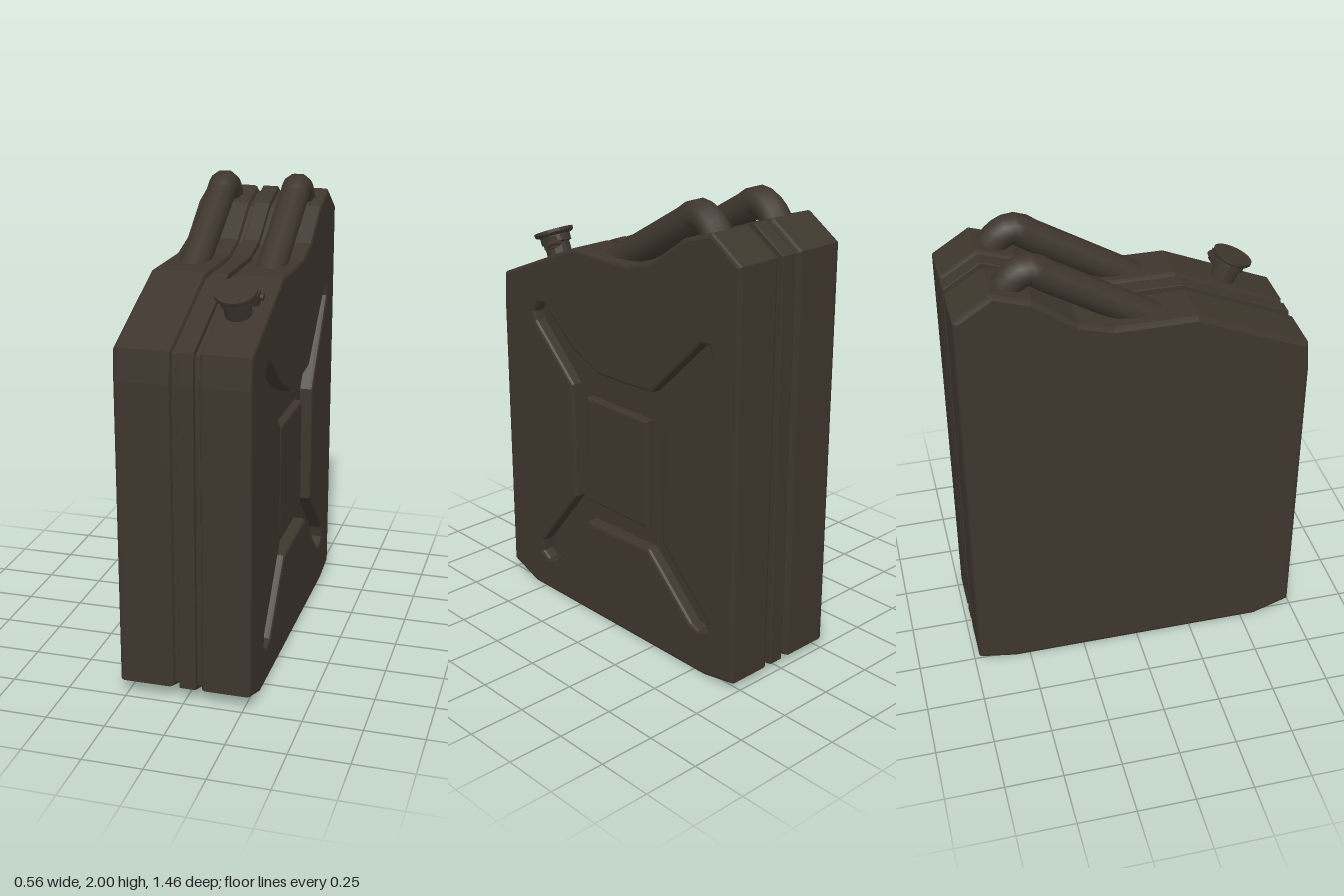
import * as THREE from 'three';

// Side outline, as [-z, y]
const outline = [
  [-0.73, 0.06], [-0.565, 0], [0.565, 0], [0.73, 0.03], [0.73, 1.81], [0.575, 1.91],
  [0.42, 1.86], [0.24, 1.73], [0.1, 1.69], [-0.245, 1.69], [-0.72, 1.49], [-0.73, 1.36],
];

// Cross-shaped recess in the side panel, as [-z, y]
const cross = [
  [-0.52, 1.35], [-0.5, 1.39], [-0.45, 1.4], [-0.25, 1.235], [-0.1, 1.17], [0.07, 1.17],
  [0.24, 1.18], [0.525, 1.46], [0.575, 1.465], [0.585, 1.42], [0.31, 1.05], [0.305, 0.525],
  [0.57, 0.27], [0.58, 0.22], [0.525, 0.195], [0.48, 0.21], [0.22, 0.46], [-0.18, 0.45],
  [-0.415, 0.17], [-0.47, 0.155], [-0.51, 0.18], [-0.505, 0.235], [-0.255, 0.545],
  [-0.265, 1.075], [-0.51, 1.31],
];

const plate = [[-0.19, 0.545], [0.195, 0.545], [0.195, 1.035], [-0.19, 1.035]];
const toPoints = (list) => list.map(([x, y]) => new THREE.Vector2(x, y));

// Extrude a side outline from x0 to x1 with bevelled rims, optionally inset
function slab(points, x0, x1, bevel, inset = 0, hole = null) {
  const shape = new THREE.Shape(toPoints(points));
  if (hole) shape.holes.push(new THREE.Path(toPoints(hole)));
  const geo = new THREE.ExtrudeGeometry(shape, {
    depth: x1 - x0 - 2 * bevel,
    bevelEnabled: true,
    bevelThickness: bevel,
    bevelSize: bevel,
    bevelOffset: -bevel - inset,
    bevelSegments: 2,
  });
  geo.translate(0, 0, x0 + bevel);
  geo.rotateY(Math.PI / 2);
  return geo;
}

export function createModel() {
  const group = new THREE.Group();
  const paint = new THREE.MeshStandardMaterial({ color: 0x3e362d });
  paint.name = 'dark olive paint';

  function add(name, geo, parent = group) {
    const mesh = new THREE.Mesh(geo, paint);
    mesh.name = name;
    parent.add(mesh);
    return mesh;
  }

  // Body: two half shells and a seam band around an inset core
  add('rightShell', slab(outline, -0.28, -0.045, 0.018));
  add('seamBand', slab(outline, -0.022, 0.049, 0.004));
  add('leftShell', slab(outline, 0.071, 0.28, 0.014, 0, cross));
  add('core', slab(outline, -0.2, 0.225, 0.001, 0.022));
  add('sidePlate', slab(plate, 0.2, 0.262, 0.01));

  // Two bent carrying handles
  const bend = [[1.64, 0.09], [1.894, -0.336], [1.935, -0.405], [1.912, -0.468], [1.81, -0.54]];
  const v = bend.map(([y, z]) => new THREE.Vector3(0, y, z));
  const path = new THREE.CurvePath();
  path.add(new THREE.LineCurve3(v[0], v[1]));
  path.add(new THREE.CatmullRomCurve3(v.slice(1)));
  for (const [name, x] of [['rightHandle', -0.158], ['leftHandle', 0.173]]) {
    add(name, new THREE.TubeGeometry(path, 28, 0.065, 10)).position.x = x;
  }

  // Filler spout, tilted square to the sloping shoulder
  const spout = new THREE.Group();
  spout.name = 'spout';
  spout.position.set(0.157, 1.575, 0.47);
  spout.rotation.x = 0.4;
  group.add(spout);
  const profile = [[0.055, -0.03], [0.055, 0.07], [0.066, 0.075], [0.066, 0.105],
    [0.08, 0.11], [0.086, 0.117], [0.086, 0.13], [0, 0.13]];
  const neck = new THREE.LatheGeometry(toPoints(profile), 20).toNonIndexed();
  neck.computeVertexNormals();
  add('neckAndCap', neck, spout);

  // Cap latch and hinge pin
  add('latch', new THREE.BoxGeometry(0.045, 0.05, 0.045), spout).position.set(0.06, 0.075, -0.035);
  const pin = add('latchPin', new THREE.CylinderGeometry(0.014, 0.014, 0.07, 8), spout);
  pin.rotation.z = Math.PI / 2;
  pin.position.set(0.06, 0.07, -0.05);

  return group;
}
